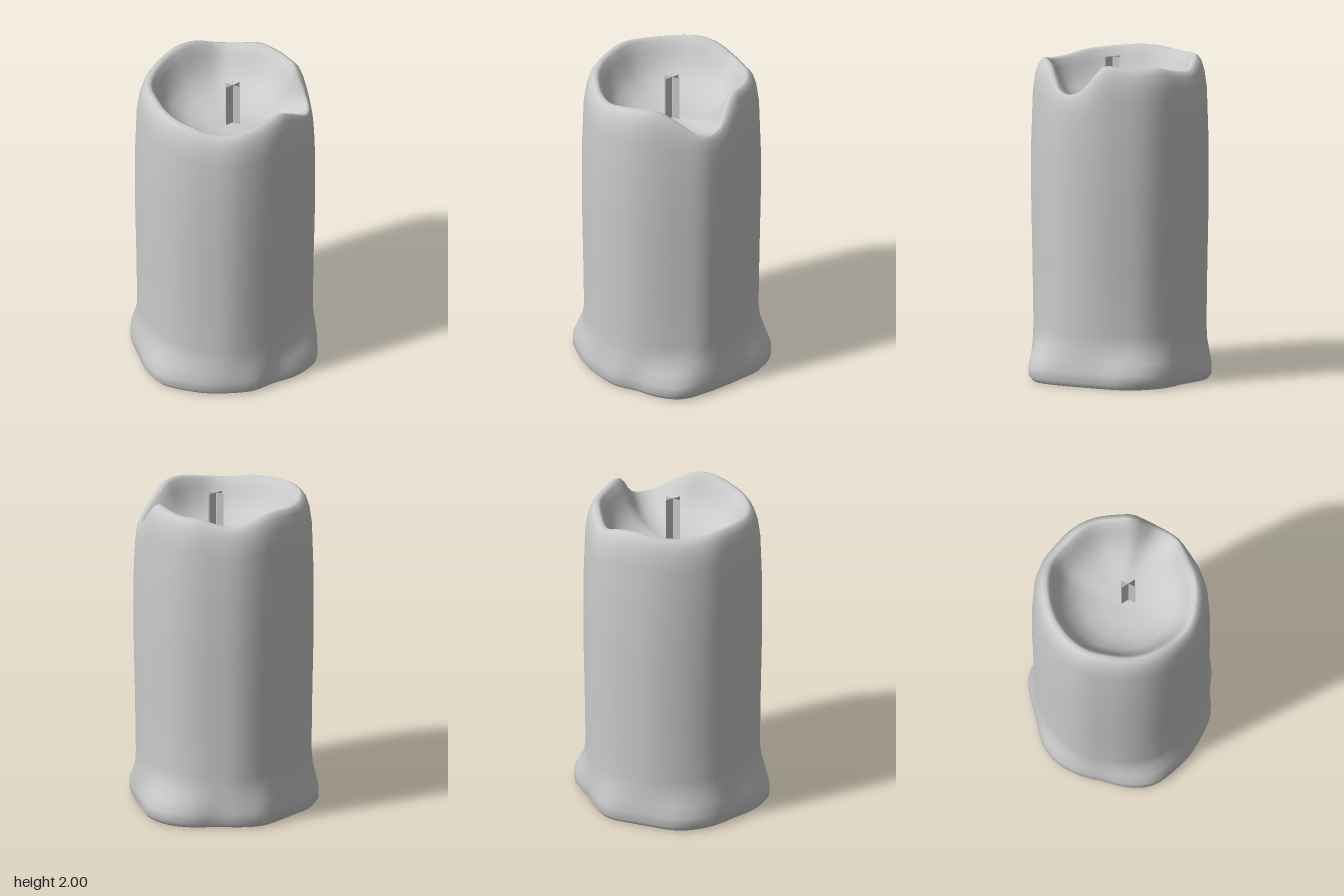
import * as THREE from 'three';

// Values every 15 degrees around the candle, starting at +x and turning towards +z
const FOOT = [.56, .58, .615, .59, .55, .565, .56, .57, .585, .61, .59, .56,
  .57, .58, .57, .54, .545, .575, .56, .545, .59, .62, .61, .57];
const BODY = [.555, .56, .54, .54, .55, .555, .56, .55, .55, .55, .545, .54,
  .55, .545, .54, .54, .54, .55, .555, .545, .55, .55, .54, .545];
const RIM = [1.84, 1.82, 1.9, 1.97, 1.98, 1.96, 1.94, 1.94, 1.96, 1.97, 1.98, 1.99,
  1.99, 1.98, 1.98, 1.99, 2, 1.98, 1.94, 1.95, 1.98, 1.98, 1.99, 1.99];
const FLOOR = 1.7;
const SEGMENTS = 72;

// Smooth periodic lookup in a table, u in 0..1
function sample(table, u) {
  const n = table.length, f = u * n, i = Math.floor(f), t = f - i;
  const [a, b, c, d] = [-1, 0, 1, 2].map(k => table[(i + k + n) % n]);
  return b + 0.5 * t * (c - a + t * (2 * a - 5 * b + 4 * c - d + t * (3 * (b - c) + d - a)));
}

// Rings from the base centre, up the wall, over the rim and down into the bowl.
// Each returns [radius, height] from the foot, body and rim values of one direction.
const wall = (y, foot, scale) => (f, b) => [f * foot + b * scale * (1 - foot), y];
const lip = (drop, scale) => (f, b, rim, k) => [b * (scale + (1 - scale) * k), rim - drop];
const bowl = (t, scale) => (f, b, rim, k) =>
  [b * (scale + (1 - scale) * k * t * t), FLOOR + (rim - FLOOR) * t];
const RINGS = [
  () => [0, 0], f => [f * 0.96, 0], f => [f * 0.96, 0],
  wall(0.03, 1, 1), wall(0.09, 1, 1), wall(0.16, 0.6, 0.98), wall(0.23, 0.2, 0.975),
  wall(0.32, 0, 0.975), wall(0.7, 0, 0.985), wall(1.1, 0, 1), wall(1.45, 0, 1),
  lip(0.2, 0.98), lip(0.1, 0.955), lip(0.04, 0.92), lip(0.01, 0.88), lip(0, 0.84),
  bowl(0.94, 0.8), bowl(0.75, 0.75), bowl(0.5, 0.69), bowl(0.25, 0.59),
  bowl(0.08, 0.42), bowl(0.02, 0.22), () => [0, FLOOR]
];

function waxGeometry() {
  const positions = [], index = [];
  RINGS.forEach((ring, j) => {
    for (let i = 0; i < SEGMENTS; i++) {
      const u = i / SEGMENTS, angle = u * Math.PI * 2;
      const rim = sample(RIM, u);
      // The rim is pushed outwards where it has melted low
      const melt = THREE.MathUtils.clamp((1.96 - rim) * 3.5, 0, 0.6);
      const [r, y] = ring(sample(FOOT, u), sample(BODY, u), rim, melt);
      positions.push(r * Math.cos(angle), y, r * Math.sin(angle));
      // The two rings at the base edge share a place, to keep that edge sharp
      if (j === 0 || j === 2) continue;
      const next = (i + 1) % SEGMENTS, low = (j - 1) * SEGMENTS, high = j * SEGMENTS;
      if (j > 1) index.push(low + next, low + i, high + i);
      if (j < RINGS.length - 1) index.push(low + next, high + i, high + next);
    }
  });
  const geometry = new THREE.BufferGeometry();
  geometry.setAttribute('position', new THREE.Float32BufferAttribute(positions, 3));
  geometry.setIndex(index);
  geometry.computeVertexNormals();
  return geometry;
}

export function createModel() {
  const model = new THREE.Group();
  model.name = 'candle';

  // Melted wax body with a hollow top
  const wax = new THREE.Mesh(waxGeometry(), new THREE.MeshStandardMaterial({ color: 0xcccccc }));
  wax.name = 'waxBody';
  model.add(wax);

  // Wick of three crossed upright strips
  const wick = new THREE.Group();
  wick.name = 'wick';
  const strip = new THREE.PlaneGeometry(0.1, 0.33);
  const wickMaterial = new THREE.MeshStandardMaterial({ color: 0xcccccc, side: THREE.DoubleSide });
  for (let i = 0; i < 3; i++) {
    const mesh = new THREE.Mesh(strip, wickMaterial);
    mesh.name = 'wickStrip';
    mesh.rotation.y = Math.PI / 6 + i * Math.PI / 3;
    wick.add(mesh);
  }
  wick.position.set(0.05, 1.825, 0.03);
  model.add(wick);

  return model;
}
